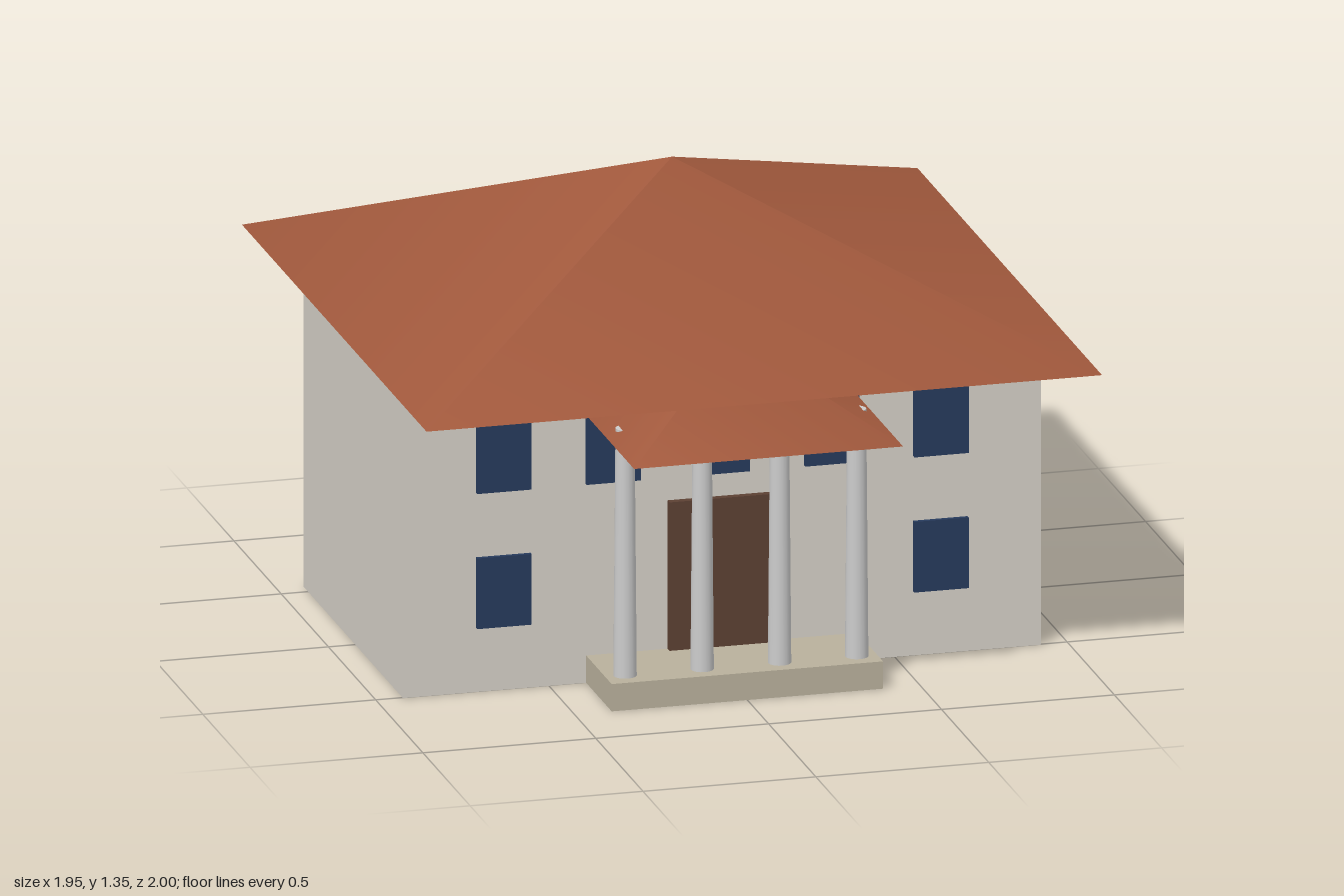
import * as THREE from 'three';

const material = (color) => new THREE.MeshStandardMaterial({ color });

export function createModel() {
  const house = new THREE.Group();
  house.name = 'house';

  const wallMat = material(0xd4cfc6);
  const roofMat = material(0xa0583c);
  const glassMat = material(0x263a5c);
  const doorMat = material(0x5c4033);
  const stoneMat = material(0xb8b09c);
  const columnMat = material(0xcccccc);

  const add = (name, geometry, mat, x, y, z) => {
    const mesh = new THREE.Mesh(geometry, mat);
    mesh.name = name;
    mesh.position.set(x, y, z);
    house.add(mesh);
    return mesh;
  };

  // Box given by its bottom height and its back and front depth
  const addBox = (name, mat, x, width, y0, y1, z0, z1) =>
    add(name, new THREE.BoxGeometry(width, y1 - y0, z1 - z0), mat, x, (y0 + y1) / 2, (z0 + z1) / 2);

  // Square pyramid roof with its sides parallel to the walls
  const addRoof = (name, halfWidth, y0, height, z) => {
    const geometry = new THREE.ConeGeometry(halfWidth * Math.SQRT2, height, 4);
    geometry.rotateY(Math.PI / 4);
    return add(name, geometry, roofMat, 0, y0 + height / 2, z);
  };

  // Main building
  addBox('walls', wallMat, 0, 1.845, 0, 0.925, -0.545, 0.505);
  addRoof('mainRoof', 0.977, 0.925, 0.42, -0.023);

  // Entrance
  addBox('porchFloor', stoneMat, 0, 0.785, 0, 0.08, 0.38, 0.775);
  addBox('door', doorMat, 0, 0.314, 0.08, 0.515, 0.49, 0.526);
  addRoof('porchRoof', 0.389, 0.78, 0.236, 0.611);
  for (const x of [-0.335, -0.112, 0.112, 0.335]) {
    add('column', new THREE.CylinderGeometry(0.027, 0.033, 0.725, 16), columnMat, x, 0.4425, 0.706);
  }

  // Windows: two below, five above
  const addWindow = (x, y) =>
    addBox('window', glassMat, x, 0.157, y, y + 0.207, 0.49, 0.518);
  for (const x of [-0.632, 0.632]) addWindow(x, 0.188);
  for (const x of [-0.632, -0.316, 0, 0.316, 0.632]) addWindow(x, 0.584);

  return house;
}
